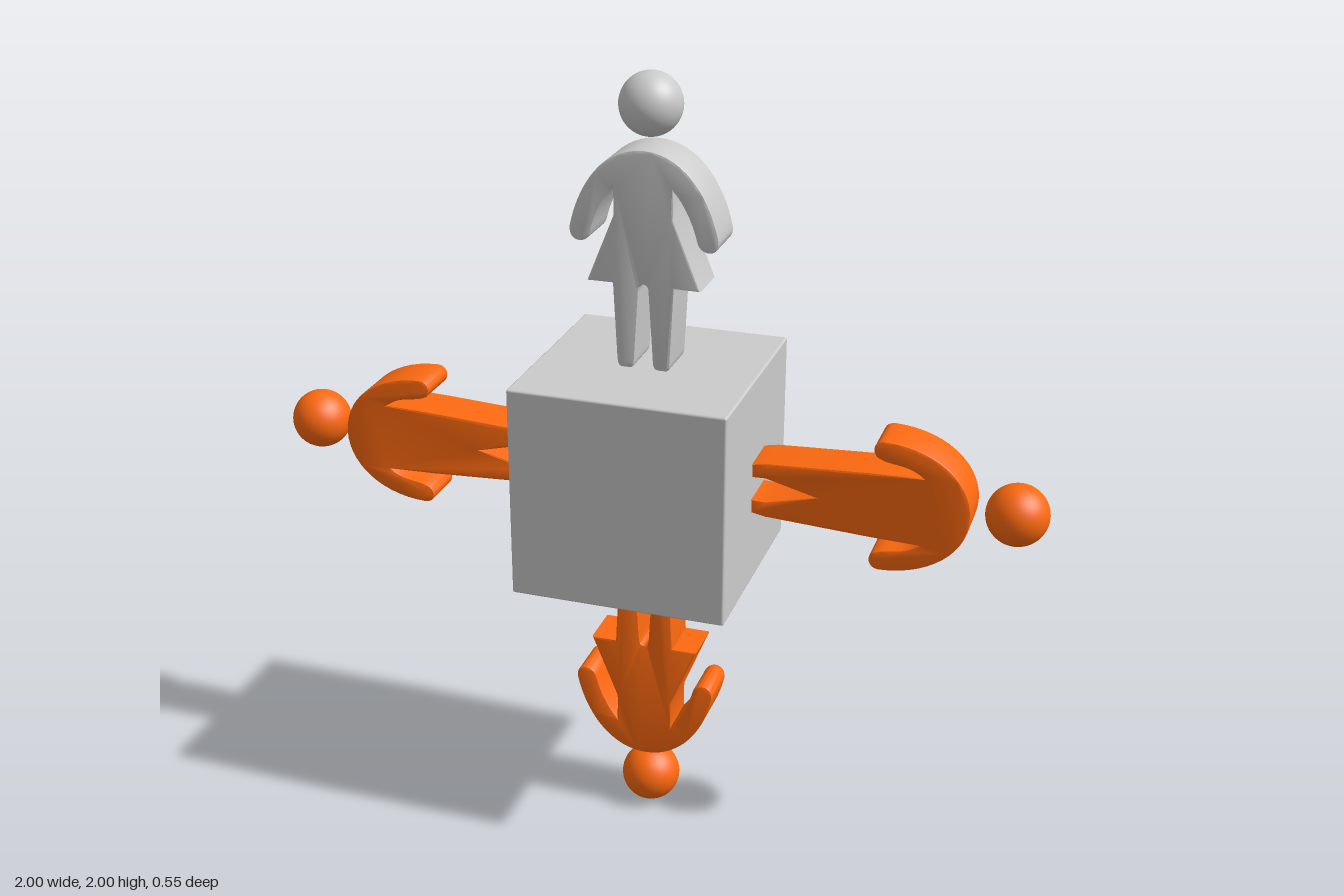
import * as THREE from 'three';
import { toCreasedNormals } from 'three/addons/utils/BufferGeometryUtils.js';
import { RoundedBoxGeometry } from 'three/addons/geometries/RoundedBoxGeometry.js';

const grey = new THREE.MeshStandardMaterial({ color: 0xcccccc });
const orange = new THREE.MeshStandardMaterial({ color: 0xff6a10 });
const THICKNESS = 0.125, BEVEL = 0.006;

// Half outlines run from the top of the shoulders to the crotch; y is the distance from the cube centre.
function womanHalf() {
  const p = new THREE.Path();
  p.moveTo(0, 0.827);
  p.bezierCurveTo(0.1, 0.827, 0.165, 0.73, 0.187, 0.625); // shoulder and outer arm
  p.bezierCurveTo(0.19, 0.582, 0.14, 0.582, 0.132, 0.618); // hand
  p.quadraticCurveTo(0.115, 0.685, 0.075, 0.733); // inner arm
  p.lineTo(0.075, 0.663); // waist
  p.lineTo(0.143, 0.494); // skirt
  p.lineTo(0.078, 0.494);
  p.lineTo(0.068, 0.3); // leg
  p.quadraticCurveTo(0.066, 0.28, 0.055, 0.28);
  p.lineTo(0.038, 0.28);
  p.quadraticCurveTo(0.024, 0.28, 0.023, 0.3);
  p.lineTo(0.012, 0.48);
  p.quadraticCurveTo(0.011, 0.497, 0, 0.497);
  return p;
}

function manHalf() {
  const p = new THREE.Path();
  p.moveTo(0, 0.82);
  p.bezierCurveTo(0.095, 0.82, 0.17, 0.73, 0.172, 0.605); // shoulder and outer arm
  p.bezierCurveTo(0.17, 0.572, 0.13, 0.572, 0.123, 0.597); // hand
  p.bezierCurveTo(0.11, 0.625, 0.12, 0.66, 0.09, 0.7); // inner arm
  p.lineTo(0.087, 0.58); // body side
  p.lineTo(0.073, 0.315); // leg
  p.lineTo(0.066, 0.28);
  p.lineTo(0.03, 0.28);
  p.lineTo(0.031, 0.315);
  p.lineTo(0, 0.44);
  return p;
}

function figure(name, half, material, angle) {
  const right = half.getPoints(14);
  const left = right.filter(p => p.x > 1e-6).reverse().map(p => new THREE.Vector2(-p.x, p.y));
  const geometry = new THREE.ExtrudeGeometry(new THREE.Shape([...right, ...left]), {
    depth: THICKNESS - 2 * BEVEL, bevelThickness: BEVEL, bevelSize: BEVEL,
    bevelOffset: -BEVEL, bevelSegments: 2,
  });
  geometry.translate(0, 0, BEVEL - THICKNESS / 2);

  const body = new THREE.Mesh(toCreasedNormals(geometry, 0.6), material);
  body.name = 'body';
  const head = new THREE.Mesh(new THREE.SphereGeometry(0.077, 40, 24), material);
  head.name = 'head';
  head.position.y = 0.923;

  const group = new THREE.Group();
  group.name = name;
  group.add(body, head);
  group.position.y = 1;
  group.rotation.z = angle;
  return group;
}

export function createModel() {
  const model = new THREE.Group();
  model.name = 'cubeWithFigures';

  // Central cube
  const cube = new THREE.Mesh(new RoundedBoxGeometry(0.55, 0.55, 0.55, 2, 0.006), grey);
  cube.name = 'cube';
  cube.position.y = 1;

  // Figures standing outward on four faces
  model.add(
    cube,
    figure('topWoman', womanHalf(), grey, 0),
    figure('bottomWoman', womanHalf(), orange, Math.PI),
    figure('leftMan', manHalf(), orange, -Math.PI / 2),
    figure('rightMan', manHalf(), orange, Math.PI / 2),
  );
  return model;
}
